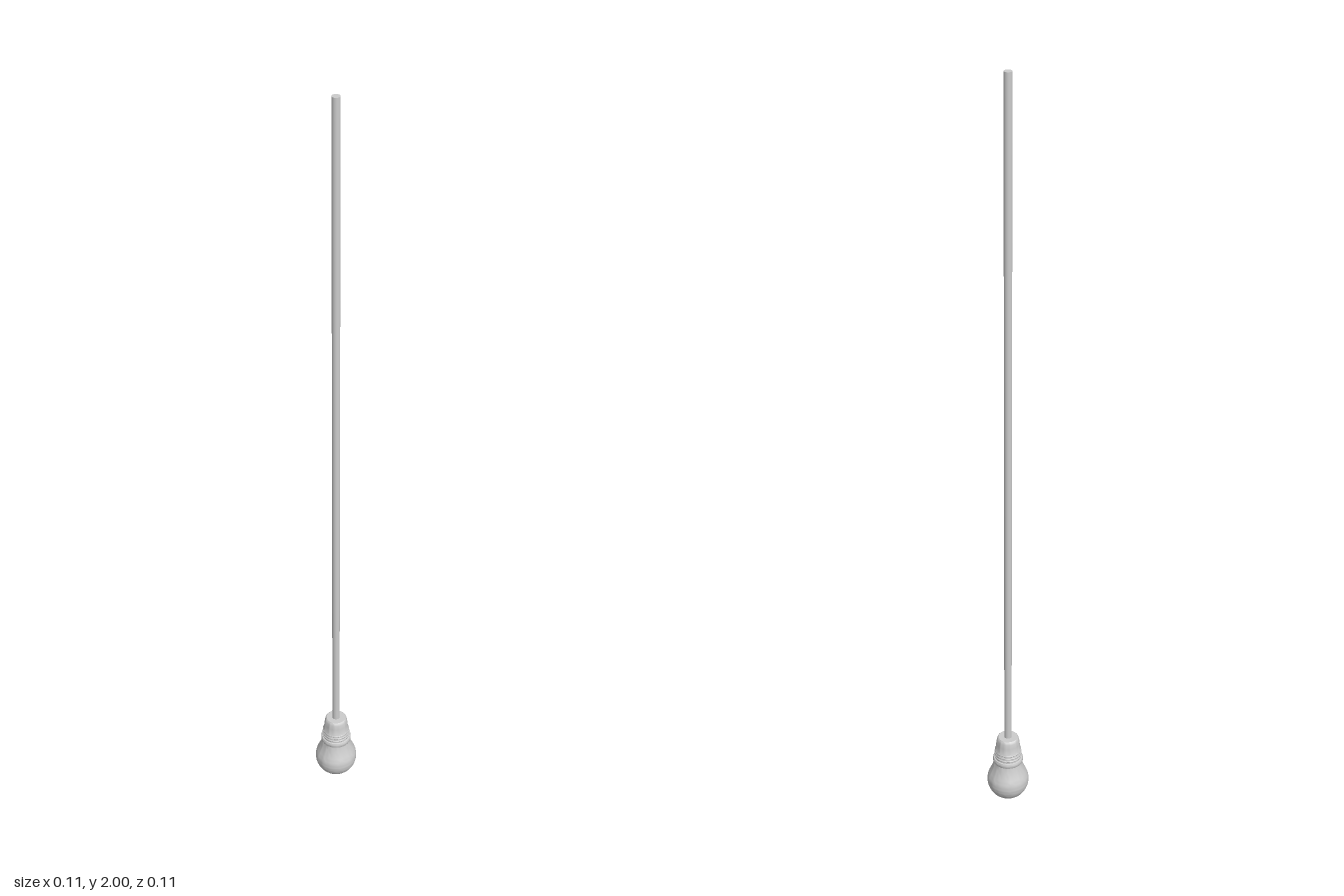
import * as THREE from 'three';
import { toCreasedNormals } from 'three/addons/utils/BufferGeometryUtils.js';

const material = new THREE.MeshStandardMaterial({ color: 0xcccccc });

function addMesh(group, name, geometry) {
  const mesh = new THREE.Mesh(geometry, material);
  mesh.name = name;
  group.add(mesh);
  return mesh;
}

// Turned part from [radius, height] pairs, listed bottom to top
function turned(points) {
  const profile = points.map(([r, y]) => new THREE.Vector2(r, y));
  return toCreasedNormals(new THREE.LatheGeometry(profile, 48), 0.6);
}

export function createModel() {
  const group = new THREE.Group();
  group.name = 'hangingBulb';

  // Glass bulb: round lower globe flowing into a tapered neck
  const globe = [];
  const R = 0.055;
  for (let i = 0; i <= 20; i++) {
    const a = -Math.PI / 2 + (i / 20) * (Math.PI / 2 + 0.5);
    globe.push([i === 0 ? 0 : R * Math.cos(a), R + R * Math.sin(a)]);
  }
  addMesh(group, 'glassBulb', turned([...globe,
    [0.044, 0.092], [0.040, 0.103], [0.037, 0.115], [0.035, 0.126]]));

  // Socket: stepped collar narrowing to a flat cap
  addMesh(group, 'socket', turned([
    [0.034, 0.117], [0.0385, 0.117], [0.0395, 0.119], [0.0395, 0.127], [0.038, 0.130],
    [0.035, 0.131], [0.034, 0.155], [0.032, 0.158], [0.031, 0.175],
    [0.029, 0.187], [0.027, 0.193], [0.025, 0.195], [0, 0.195]]));

  // Raised grip rings around the socket
  for (let i = 0; i < 3; i++) {
    const ring = addMesh(group, 'socketRing' + (i + 1),
      new THREE.TorusGeometry(0.0345 - i * 0.0008, 0.0022, 8, 48));
    ring.rotation.x = Math.PI / 2;
    ring.position.y = 0.137 + i * 0.008;
  }

  // Long straight suspension cord
  const cord = addMesh(group, 'cord', new THREE.CylinderGeometry(0.0097, 0.0097, 1.81, 32));
  cord.position.y = 1.095;

  return group;
}
